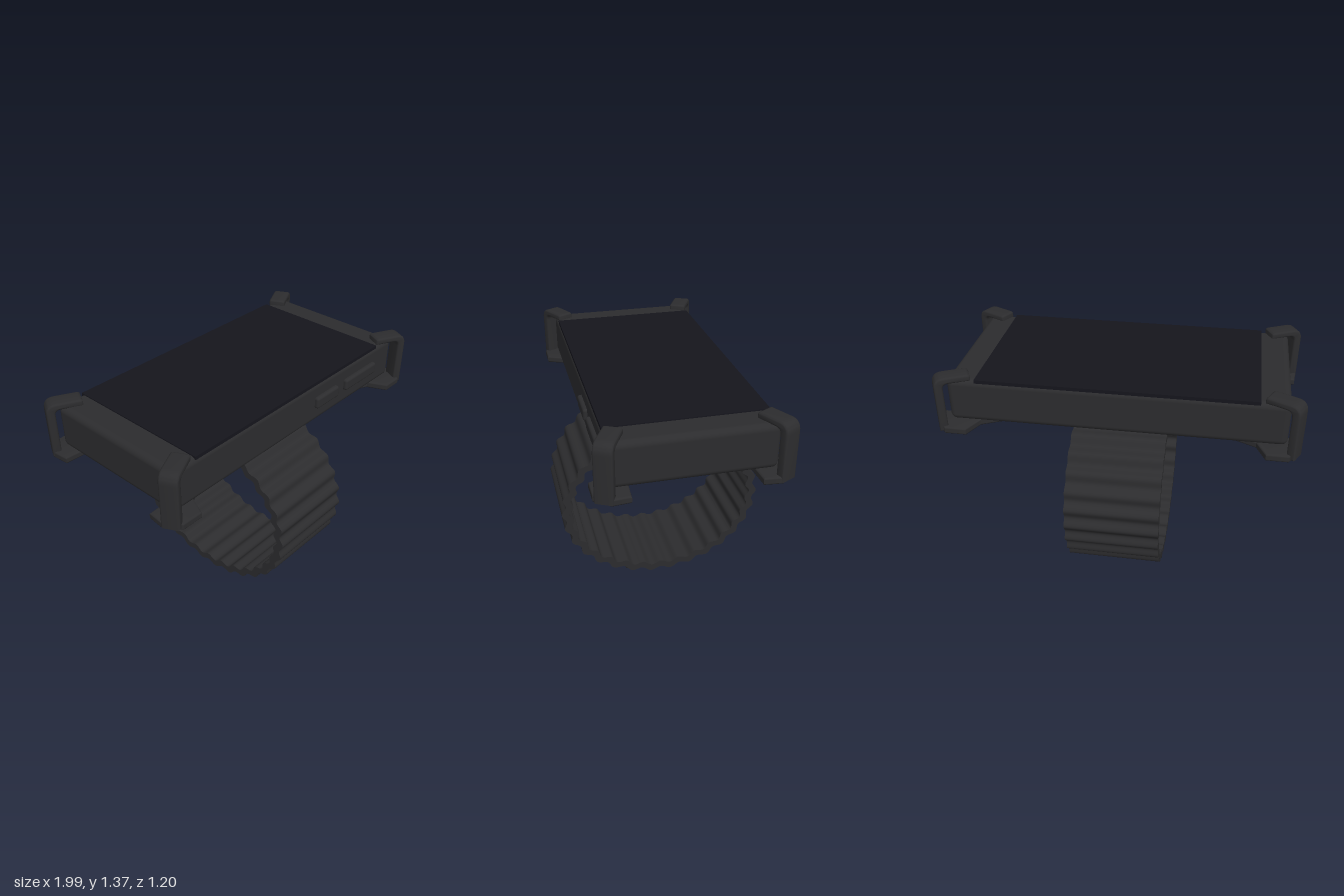
import * as THREE from 'three';
import { toCreasedNormals } from 'three/addons/utils/BufferGeometryUtils.js';
import { RoundedBoxGeometry } from 'three/addons/geometries/RoundedBoxGeometry.js';

const dark = new THREE.MeshStandardMaterial({ color: 0x2c2c2e });
const glass = new THREE.MeshStandardMaterial({ color: 0x15151c });

function add(parent, name, geometry, material = dark, x = 0, y = 0, z = 0) {
  const mesh = new THREE.Mesh(geometry, material);
  mesh.name = name;
  mesh.position.set(x, y, z);
  parent.add(mesh);
  return mesh;
}

// Extrusion with softened edges, kept inside the drawn outline and centred in depth
function softExtrude(shape, depth, bevel) {
  const g = new THREE.ExtrudeGeometry(shape, {
    depth: depth - 2 * bevel, bevelEnabled: true, bevelSize: bevel, bevelThickness: bevel,
    bevelOffset: -bevel, bevelSegments: 3, curveSegments: 10,
  });
  g.translate(0, 0, bevel - depth / 2);
  return toCreasedNormals(g, 0.6);
}

// Rounded disc, from a lathe profile
function disc(radius, y0, y1, r) {
  const points = [[0, y0], [radius - r, y0], [radius - r * 0.3, y0 + r * 0.3], [radius, y0 + r],
    [radius, y1 - r], [radius - r * 0.3, y1 - r * 0.3], [radius - r, y1], [0, y1]];
  const g = new THREE.LatheGeometry(points.map(p => new THREE.Vector2(...p)), 48);
  return toCreasedNormals(g, 0.9);
}

// Rippled oval outline of the wrist strap
function ripple(offset) {
  const points = [];
  for (let i = 0; i < 300; i++) {
    const a = (i / 300) * Math.PI * 2;
    const wave = offset + 0.012 * Math.cos(a * 30);
    points.push(new THREE.Vector2((0.565 + wave) * Math.cos(a), (0.472 + wave) * Math.sin(a)));
  }
  return points;
}

function makeStrap() {
  const shape = new THREE.Shape(ripple(0.022));
  shape.holes.push(new THREE.Path(ripple(-0.022)));
  const g = new THREE.ExtrudeGeometry(shape, { depth: 0.54, bevelEnabled: false });
  g.translate(0, 0, -0.27);
  g.rotateY(-Math.PI / 2);
  return toCreasedNormals(g, 0.7);
}

// Flat arm that runs from the hub and flares into a corner foot
function makeArm(sx, sz) {
  const outline = [[0.18, 0.12], [0.76, 0.4], [0.81, 0.512], [0.93, 0.512],
    [0.995, 0.43], [0.985, 0.33], [0.81, 0.32], [0.21, 0.065]];
  const shape = new THREE.Shape(outline.map(([x, z]) => new THREE.Vector2(sx * x, sz * z)));
  return softExtrude(shape, 0.04, 0.01).rotateX(Math.PI / 2);
}

// Corner hook: an upright that curls inward over the device
function makeHook() {
  const s = new THREE.Shape();
  s.moveTo(0.025, 1.05);
  s.lineTo(0.025, 1.31);
  s.quadraticCurveTo(0.025, 1.37, -0.035, 1.37);
  s.lineTo(-0.155, 1.37);
  s.quadraticCurveTo(-0.172, 1.37, -0.172, 1.353);
  s.lineTo(-0.172, 1.333);
  s.lineTo(-0.055, 1.333);
  s.quadraticCurveTo(-0.022, 1.333, -0.022, 1.3);
  s.lineTo(-0.022, 1.05);
  return softExtrude(s, 0.1, 0.011);
}

export function createModel() {
  const model = new THREE.Group();
  model.name = 'wristPhoneMount';

  // Phone
  const phone = new THREE.Group();
  phone.name = 'phone';
  model.add(phone);
  add(phone, 'phoneBody', new RoundedBoxGeometry(1.84, 0.25, 0.87, 5, 0.035), dark, 0, 1.213, 0);
  add(phone, 'screen', new THREE.BoxGeometry(1.52, 0.02, 0.86), glass, 0, 1.334, 0);
  for (const [x, width] of [[0.27, 0.2], [0.59, 0.3]])
    add(phone, 'sideButton', new RoundedBoxGeometry(width, 0.07, 0.06, 3, 0.015), dark, x, 1.215, 0.428);

  // Holder: hub, neck and four arms with hooks
  const holder = new THREE.Group();
  holder.name = 'holder';
  model.add(holder);
  add(holder, 'hub', disc(0.3, 1.03, 1.09, 0.012));
  add(holder, 'neck', disc(0.18, 0.967, 1.04, 0.008));
  for (const sx of [-1, 1]) for (const sz of [-1, 1]) {
    add(holder, 'arm', makeArm(sx, sz), dark, 0, 1.062, 0);
    const hook = add(holder, 'cornerHook', makeHook(), dark, sx * 0.955, 0, sz * 0.455);
    hook.rotation.y = Math.atan2(-sz * 0.45, sx * 0.89);
  }

  // Wrist strap and its clasp
  add(model, 'strap', makeStrap(), dark, 0, 0.53, 0);
  add(model, 'clasp', new RoundedBoxGeometry(0.4, 0.068, 0.425, 4, 0.02), dark, 0, 0.034, 0);

  return model;
}
